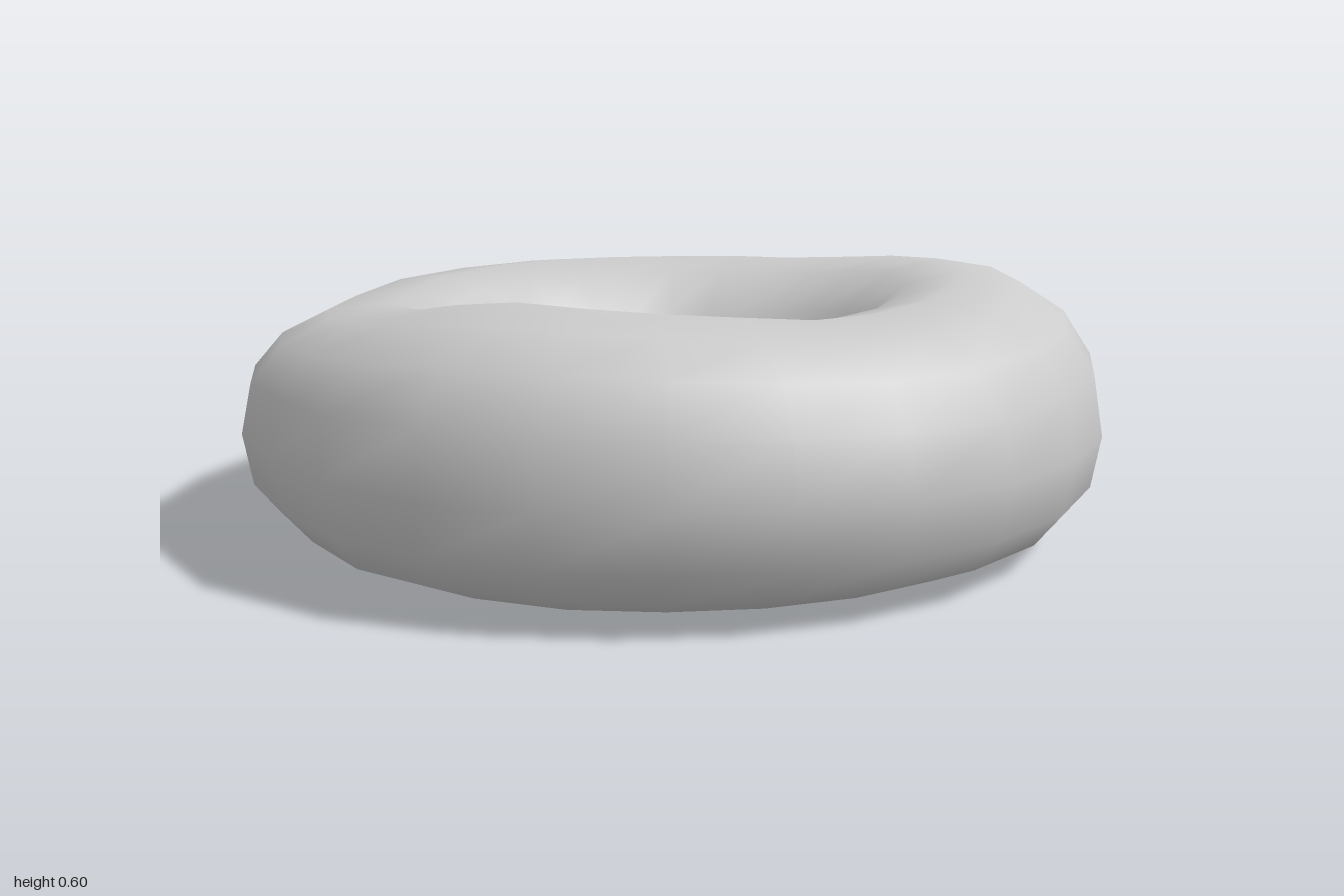
import * as THREE from 'three';
import { mergeVertices } from 'three/addons/utils/BufferGeometryUtils.js';

// Values every 15 degrees round the ring, starting at +x and turning towards +z
const OUTER = [1, 0.99, 0.98, 0.97, 0.955, 0.945, 0.94, 0.95, 0.968, 0.98, 0.965, 0.985,
  1, 0.998, 0.995, 0.975, 0.965, 0.95, 0.942, 0.935, 0.935, 0.965, 0.975, 0.99];
const INNER = [0.33, 0.315, 0.31, 0.26, 0.245, 0.235, 0.245, 0.27, 0.265, 0.27, 0.275, 0.29,
  0.32, 0.31, 0.32, 0.285, 0.25, 0.24, 0.25, 0.235, 0.235, 0.255, 0.285, 0.33];
const TOP = [0.592, 0.585, 0.575, 0.562, 0.562, 0.575, 0.585, 0.595, 0.6, 0.58, 0.55, 0.53,
  0.515, 0.52, 0.535, 0.545, 0.55, 0.55, 0.55, 0.555, 0.558, 0.57, 0.588, 0.6];
const SEGMENTS = OUTER.length;

const power = (value, n) => Math.sign(value) * Math.abs(value) ** (2 / n);

// A plain torus whose rings are reshaped into uneven, flat-bottomed sections
function doughGeometry() {
  const R = 0.6;
  let geometry = new THREE.TorusGeometry(R, 0.3, 16, SEGMENTS).rotateX(-Math.PI / 2);
  geometry.deleteAttribute('uv');
  geometry.deleteAttribute('normal');
  geometry = mergeVertices(geometry, 1e-4);

  const pos = geometry.attributes.position;
  for (let i = 0; i < pos.count; i++) {
    const x = pos.getX(i), y = pos.getY(i), z = pos.getZ(i);
    const around = Math.atan2(z, x);
    const section = Math.atan2(y, Math.hypot(x, z) - R);
    const k = (Math.round((around / (2 * Math.PI)) * SEGMENTS) + SEGMENTS) % SEGMENTS;

    // squarer below and outside, rounder above and towards the hole
    const c = Math.cos(section), s = Math.sin(section);
    const n = s < 0 ? (c > 0 ? 2.5 : 2.2) : (c > 0 ? 2.25 : 1.9);
    const across = power(c, n), up = power(s, n);

    const radius = (OUTER[k] + INNER[k]) / 2 + (across * (OUTER[k] - INNER[k])) / 2;
    const bottom = 0.012 - 0.012 * Math.sin(around);
    const middle = 0.23 + 0.03 * across;
    const height = middle + up * (up > 0 ? TOP[k] - middle : middle - bottom);
    pos.setXYZ(i, radius * Math.cos(around), height, radius * Math.sin(around));
  }
  geometry.computeVertexNormals();
  return geometry;
}

export function createModel() {
  const group = new THREE.Group();
  group.name = 'doughnut';
  const dough = new THREE.Mesh(doughGeometry(), new THREE.MeshStandardMaterial({ color: 0xcccccc }));
  dough.name = 'doughRing';
  group.add(dough);
  return group;
}
